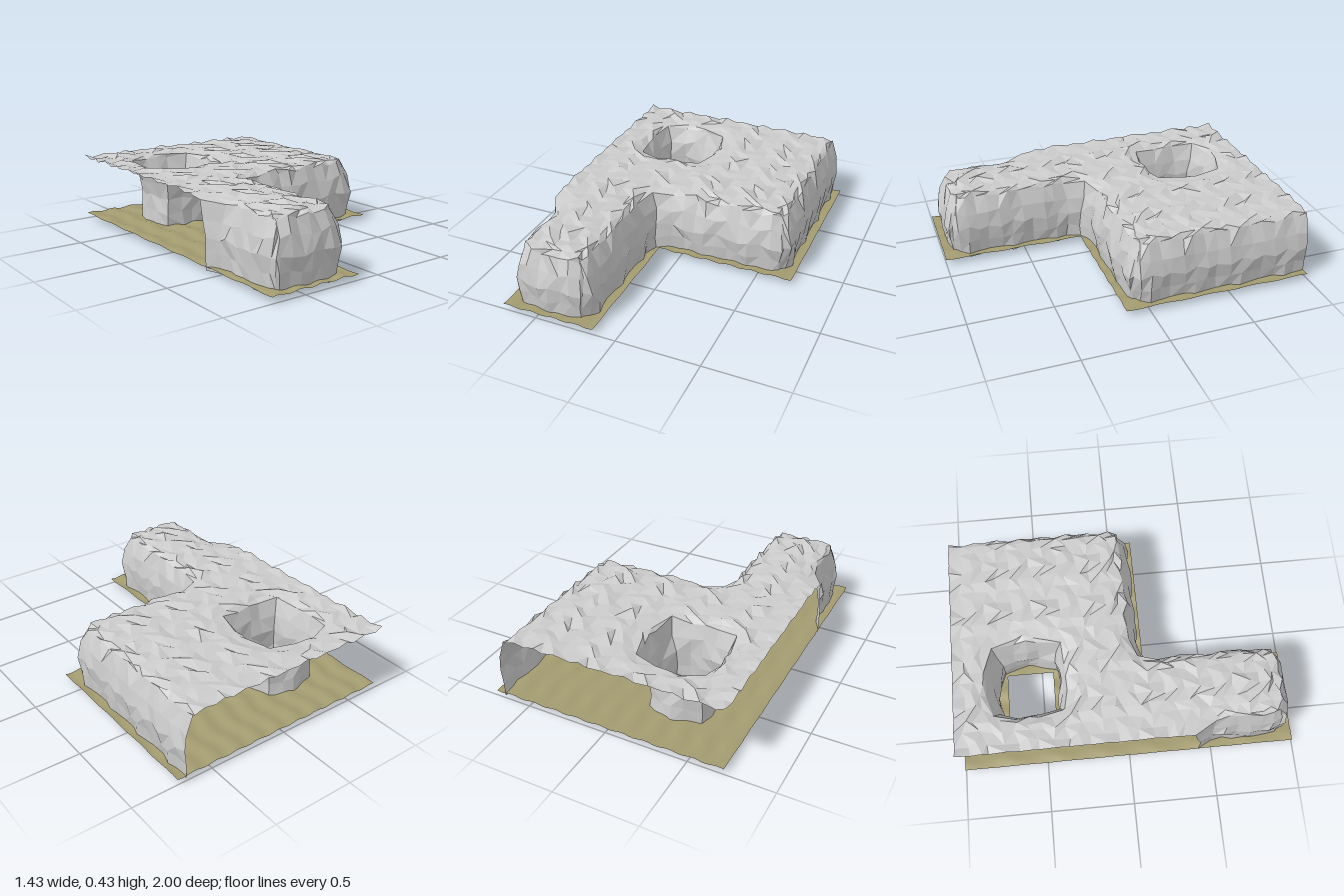
import * as THREE from 'three';
import { mergeGeometries } from 'three/addons/utils/BufferGeometryUtils.js';

const TILE = 2 / 7, S = TILE / 4;          // modular tile and rock lattice step
const X0 = -0.709, X1 = X0 + 5 * TILE, Z0 = -1;
const NX = 20, NZ = 28;
// open air the rock keeps away from: [xMin, xMax, zMin, zMax]
const AIR = [
  [X1, 9, -9, 9],                                   // beyond the +x side
  [X0 + 2 * TILE, 9, TILE / 2, 9],                  // notch
  [-9, 9, 1, 9],                                    // beyond the front
  [-9, X0, 1.5 * TILE, 9],                          // beside the front arm
  [X0 + TILE, X0 + 2 * TILE, -2.5 * TILE, -1.5 * TILE], // pit
];
const isAir = (x, z) => AIR.some(([a, b, c, d]) => x > a && x < b && z > c && z < d);

// repeatable noise in -1..1, mostly repeating from tile to tile
function noise(i, j, k, n) {
  const f = (a, b) => {
    const v = Math.sin(a * 12.9898 + b * 78.233 + k * 37.719 + n * 53.3 + 1.7) * 43758.5453;
    return (v - Math.floor(v)) * 2 - 1;
  };
  return 0.7 * f(i % 4, j % 4) + 0.3 * f(i, j);
}

// wall profile from foot to rim: [height, inset from the tile edge]
const WALL = [[0.014, 0.05], [0.11, 0.042], [0.2, 0.036], [0.3, 0.056], [0.388, 0.09]];
const TOP = WALL.length - 1;
const ROUND = 0.06;

function rockPoint(i, j, level) {
  const x = X0 + i * S, z = Z0 + j * S;
  let px = 0, pz = 0, tx = 0, tz = 0, near = 9, touching = 0, close = 0;
  for (const [a, b, c, d] of AIR) {
    const dx = x - THREE.MathUtils.clamp(x, a + ROUND, b - ROUND);
    const dz = z - THREE.MathUtils.clamp(z, c + ROUND, d - ROUND);
    const dist = Math.hypot(dx, dz), gap = dist - ROUND;
    if (gap > 0.4) continue;
    near = Math.min(near, gap);
    let push = WALL[level][1] * Math.exp(-gap / 0.1);
    if (gap < 0.03) {
      // inner corners are rounder at the foot than at the rim
      push = WALL[level][1] - gap * (1 - level / TOP);
      touching++;
      tx += dx / dist;
      tz += dz / dist;
    } else if (gap < 0.1) close++;
    px += (dx / dist) * push;
    pz += (dz / dist) * push;
  }
  // round off outer corners, with the columns beside them
  const edge = touching > 0;
  const extra = touching === 2 ? 0.038 : edge && close > 0 ? 0.016 : 0;
  const rough = edge ? 0.016 : 0.024;
  let vx = x + px + tx * extra + noise(i, j, level, 1) * rough;
  let vz = z + pz + tz * extra + noise(i, j, level, 2) * rough;
  const y = edge
    ? WALL[level][0] + noise(i, j, level, 3) * 0.018
    : 0.416 - 0.035 * Math.exp(-near / 0.06) + noise(i, j, level, 3) * 0.015;
  // open borders stay straight where the next module would join
  if (j === 0) vz = Z0;
  if (i === 0 && z < 1.5 * TILE + 0.01) vx = X0;
  return [vx, Math.max(0, y), vz];
}

function rockGeometry() {
  const pos = [];
  const quad = (a, b, c, d, flip) => {
    const order = flip ? [a, b, d, b, c, d] : [a, b, c, a, c, d];
    order.forEach((p) => pos.push(...rockPoint(...p)));
  };
  for (let i = 0; i < NX; i++) for (let j = 0; j < NZ; j++) {
    const x = X0 + (i + 0.5) * S, z = Z0 + (j + 0.5) * S;
    if (isAir(x, z)) continue;
    // top
    quad([i, j, TOP], [i, j + 1, TOP], [i + 1, j + 1, TOP], [i + 1, j, TOP], noise(i, j, 7, 5) > 0);
    // walls against open air
    const sides = [
      [1, 0, i + 1, j + 1, i + 1, j], [-1, 0, i, j, i, j + 1],
      [0, 1, i, j + 1, i + 1, j + 1], [0, -1, i + 1, j, i, j],
    ];
    for (const [dx, dz, ai, aj, bi, bj] of sides) {
      if (!isAir(x + dx * S, z + dz * S)) continue;
      for (let k = 0; k < TOP; k++) {
        quad([ai, aj, k], [bi, bj, k], [bi, bj, k + 1], [ai, aj, k + 1], noise(i, j, k, 6) > 0);
      }
    }
  }
  const g = new THREE.BufferGeometry();
  g.setAttribute('position', new THREE.Float32BufferAttribute(pos, 3));
  g.computeVertexNormals();
  return g;
}

// rippled ground sheet, one plane per tile
function groundGeometry() {
  const tiles = [];
  for (let c = 0; c < 5; c++) for (let r = 0; r < 7; r++) {
    const x = X0 + (c + 0.5) * TILE, z = Z0 + (r + 0.5) * TILE;
    if (isAir(x, z)) continue;
    const g = new THREE.PlaneGeometry(TILE, TILE, 16, 6).rotateX(-Math.PI / 2).translate(x, 0, z);
    const p = g.attributes.position;
    for (let n = 0; n < p.count; n++) {
      const u = (p.getX(n) - X0) / TILE, v = (p.getZ(n) - Z0) / TILE;
      p.setY(n, 0.034 + 0.005 * Math.sin(u * Math.PI * 4 + 0.8 * Math.sin(v * Math.PI * 2)));
    }
    g.computeVertexNormals();
    tiles.push(g);
  }
  return mergeGeometries(tiles);
}

export function createModel() {
  const model = new THREE.Group();
  model.name = 'rockPlateau';
  const rock = new THREE.Mesh(rockGeometry(), new THREE.MeshStandardMaterial({
    color: 0xcccccc, flatShading: true, side: THREE.DoubleSide,
  }));
  rock.name = 'rockShell';
  const ground = new THREE.Mesh(groundGeometry(), new THREE.MeshStandardMaterial({
    color: 0xa39b70, side: THREE.DoubleSide,
  }));
  ground.name = 'ground';
  model.add(rock, ground);
  return model;
}
